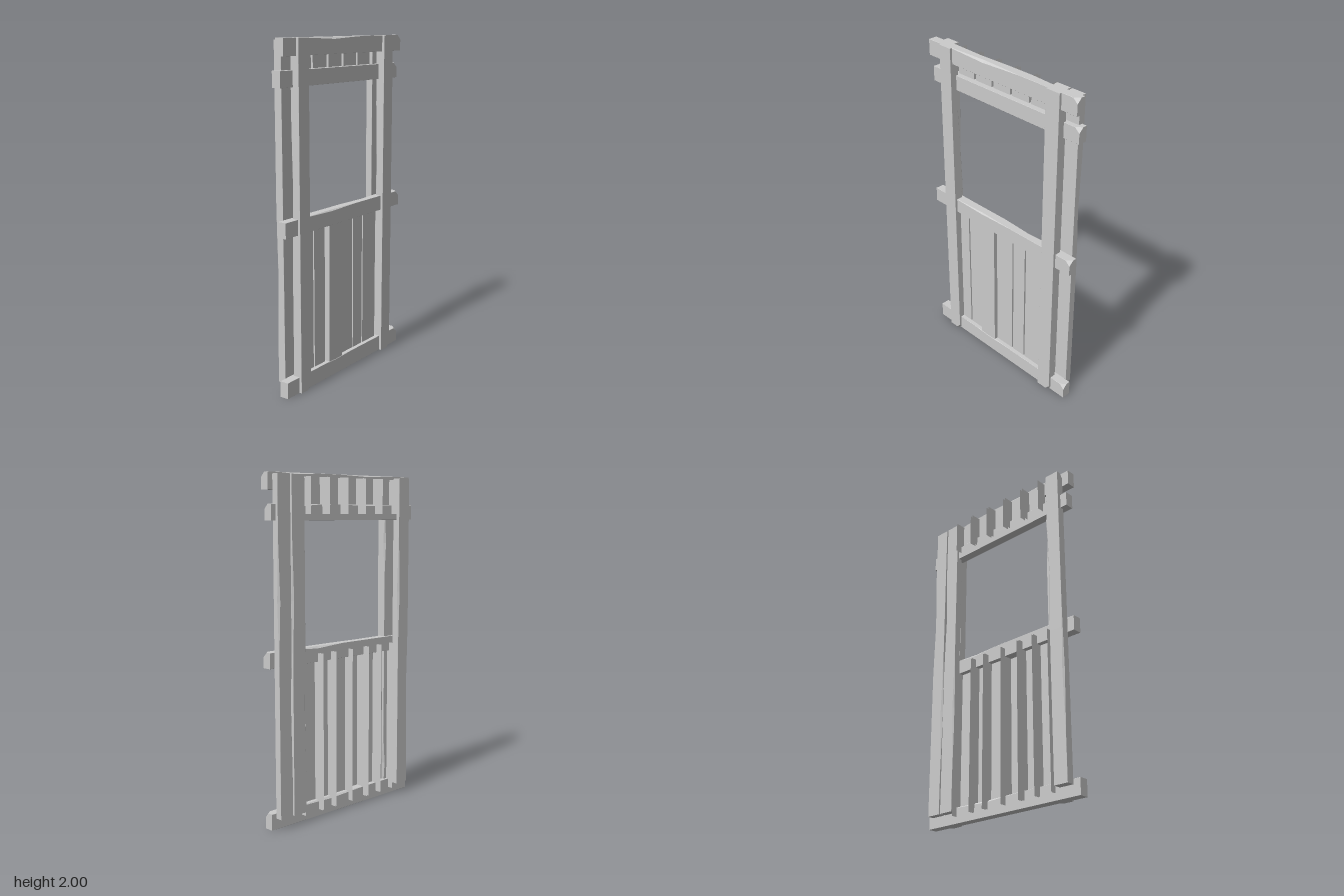
import * as THREE from 'three';

const material = new THREE.MeshStandardMaterial({ color: 0xcccccc, flatShading: true });
const openMaterial = new THREE.MeshStandardMaterial({ color: 0xcccccc, flatShading: true, side: THREE.DoubleSide });

// Rough-hewn beam. min/max are [x, y, z]; axis is the long direction.
// wear: [corner, position, half length, depth], a bevel along one long edge.
// Corners run round the section in the two following axes (lo lo, hi lo, hi hi, lo hi).
function beam(name, axis, min, max, wear) {
  const a = { x: 0, y: 1, z: 2 }[axis], u = (a + 1) % 3, v = (a + 2) % 3;
  const stops = [min[a], max[a]];
  for (const [, at, half] of wear) stops.push(at - half, at, at + half);
  const stations = [...new Set(stops)].filter(s => s >= min[a] && s <= max[a]).sort((p, q) => p - q);

  const bevel = (corner, s) => wear.reduce((b, [c, at, half, depth]) =>
    c === corner ? Math.max(b, depth * (1 - Math.abs(s - at) / half)) : b, 0.001);
  const corners = [[0, 0], [1, 0], [1, 1], [0, 1]];
  const positions = [], index = [];
  for (const s of stations) {
    corners.forEach(([cu, cv], c) => {
      const b = bevel(c, s);
      const alongU = [(cu ? max[u] - b : min[u] + b), cv ? max[v] : min[v]];
      const alongV = [cu ? max[u] : min[u], (cv ? max[v] - b : min[v] + b)];
      for (const [pu, pv] of c % 2 ? [alongU, alongV] : [alongV, alongU]) {
        const p = [0, 0, 0];
        p[a] = s; p[u] = pu; p[v] = pv;
        positions.push(...p);
      }
    });
  }
  const n = 8, last = (stations.length - 1) * n;
  for (let r = 0; r < last; r += n) {
    for (let i = 0; i < n; i++) {
      const j = (i + 1) % n;
      index.push(r + i, r + j, r + n + j, r + i, r + n + j, r + n + i);
    }
  }
  for (let i = 1; i < n - 1; i++) {
    index.push(0, i + 1, i, last, last + i, last + i + 1);
  }
  const geometry = new THREE.BufferGeometry();
  geometry.setAttribute('position', new THREE.Float32BufferAttribute(positions, 3));
  geometry.setIndex(index);
  const flat = geometry.toNonIndexed();
  flat.computeVertexNormals();
  const mesh = new THREE.Mesh(flat, material);
  mesh.name = name;
  return mesh;
}

// Board made of a front face and two side faces, open behind and at the ends
function plank(name, x0, x1, y0, y1, zBack, zFront) {
  const group = new THREE.Group();
  group.name = name;
  const add = (part, width, x, z, turn) => {
    const mesh = new THREE.Mesh(new THREE.PlaneGeometry(width, y1 - y0), openMaterial);
    mesh.name = part;
    mesh.position.set(x, (y0 + y1) / 2, z);
    mesh.rotation.y = turn;
    group.add(mesh);
  };
  const depth = zFront - zBack, zMid = (zFront + zBack) / 2;
  add('plankFace', x1 - x0, (x0 + x1) / 2, zFront, 0);
  add('plankLeftSide', depth, x1, zMid, Math.PI / 2);
  add('plankRightSide', depth, x0, zMid, -Math.PI / 2);
  return group;
}

export function createModel() {
  const model = new THREE.Group();
  model.name = 'windowWall';

  // Horizontal rails, each with one chipped end corner and worn edges
  const rails = [
    ['bottomRail', 0, 0.095, 0, 0.055, [[1, 0.1, 0.3, 0.012], [2, -0.1, 0.15, 0.006]]],
    ['sillRail', 0.93, 1.02, 0, 0.055, [[2, -0.15, 0.25, 0.008], [1, 0.2, 0.2, 0.012]]],
    ['windowHeadRail', 1.74, 1.83, -0.025, 0.03, [[1, -0.18, 0.25, 0.008], [1, 0.34, 0.15, 0.012]]],
    ['topRail', 1.905, 2, 0, 0.055, [[2, -0.12, 0.28, 0.013], [1, -0.18, 0.22, 0.008], [1, 0.34, 0.14, 0.01]]],
  ];
  for (const [name, y0, y1, z0, z1, wear] of rails) {
    model.add(beam(name, 'x', [-0.565, y0, z0], [0.562, y1, z1], [[2, 0.562, 0.03, 0.028], ...wear]));
  }

  // Front posts, chipped at the foot
  for (const [name, x0, x1] of [['frontRightPost', -0.46, -0.37], ['frontLeftPost', 0.36, 0.455]]) {
    model.add(beam(name, 'y', [x0, 0, 0.015], [x1, 2, 0.07],
      [[2, 0, 0.03, 0.028], [3, 1.6, 0.2, 0.012], [3, 0.2, 0.18, 0.014], [0, 1.2, 0.4, 0.01]]));
  }

  // Back posts, chipped at the head
  const backPosts = [
    ['backRightPost', -0.52, -0.43, -0.048],
    ['backInnerLeftPost', 0.337, 0.43, -0.042],
    ['backOuterLeftPost', 0.44, 0.53, -0.042],
  ];
  for (const [name, x0, x1, z0] of backPosts) {
    model.add(beam(name, 'y', [x0, 0.065, z0], [x1, 1.99, 0],
      [[1, 1.99, 0.03, 0.02], [3, 1.3, 0.35, 0.012], [0, 0.7, 0.4, 0.01]]));
  }

  // Short planks above the window
  for (let i = 0; i < 5; i++) {
    const x = -0.385 + i * 0.1435;
    model.add(plank('upperPlank', x, x + 0.126, 1.775, 1.98, -0.07, -0.005));
  }

  // Planks below the window, one standing proud
  const lower = [[-0.4, -0.295], [-0.285, -0.185], [-0.17, -0.045], [-0.043, 0.09], [0.1, 0.193], [0.203, 0.337]];
  lower.forEach(([x0, x1], i) => {
    model.add(plank('lowerPlank', x0, x1, 0.04, 0.98, -0.035, i === 2 ? 0.053 : 0.03));
  });

  return model;
}
